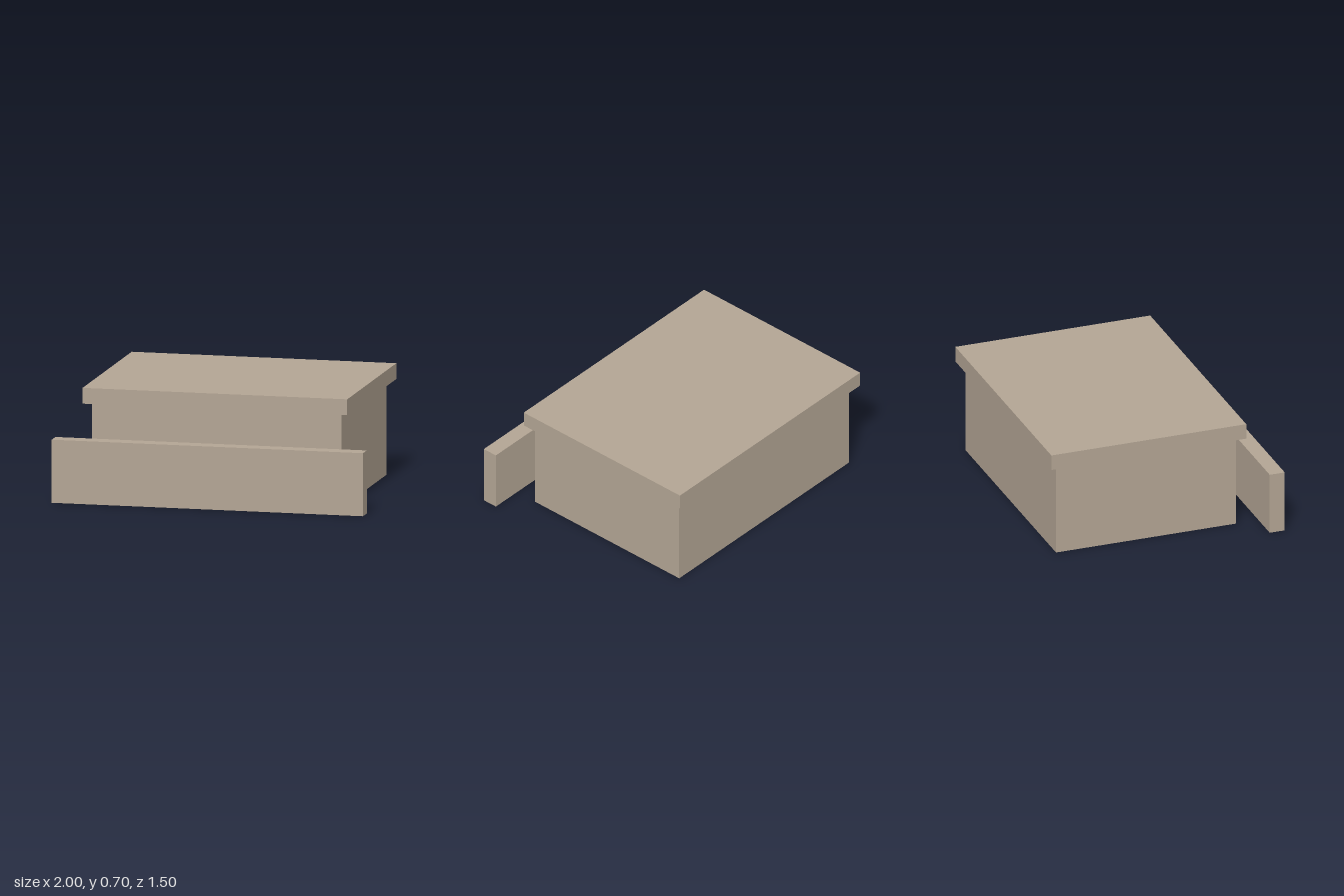
import * as THREE from 'three';

export function createModel() {
  const group = new THREE.Group();
  const stone = new THREE.MeshStandardMaterial({ color: 0xb3a594 });
  stone.name = 'stone';

  // Box given by its size, the height of its base and its centre in z
  const addBlock = (name, [w, h, d], baseY, z) => {
    const mesh = new THREE.Mesh(new THREE.BoxGeometry(w, h, d), stone);
    mesh.name = name;
    mesh.position.set(0, baseY + h / 2, z);
    group.add(mesh);
  };

  // Main building with an overhanging flat roof
  addBlock('buildingBody', [1.6, 0.6, 1.2], 0, -0.1);
  addBlock('roofSlab', [1.7, 0.1, 1.3], 0.6, -0.1);

  // Free-standing wall in front
  addBlock('frontWall', [2, 0.4, 0.1], 0, 0.7);

  return group;
}
